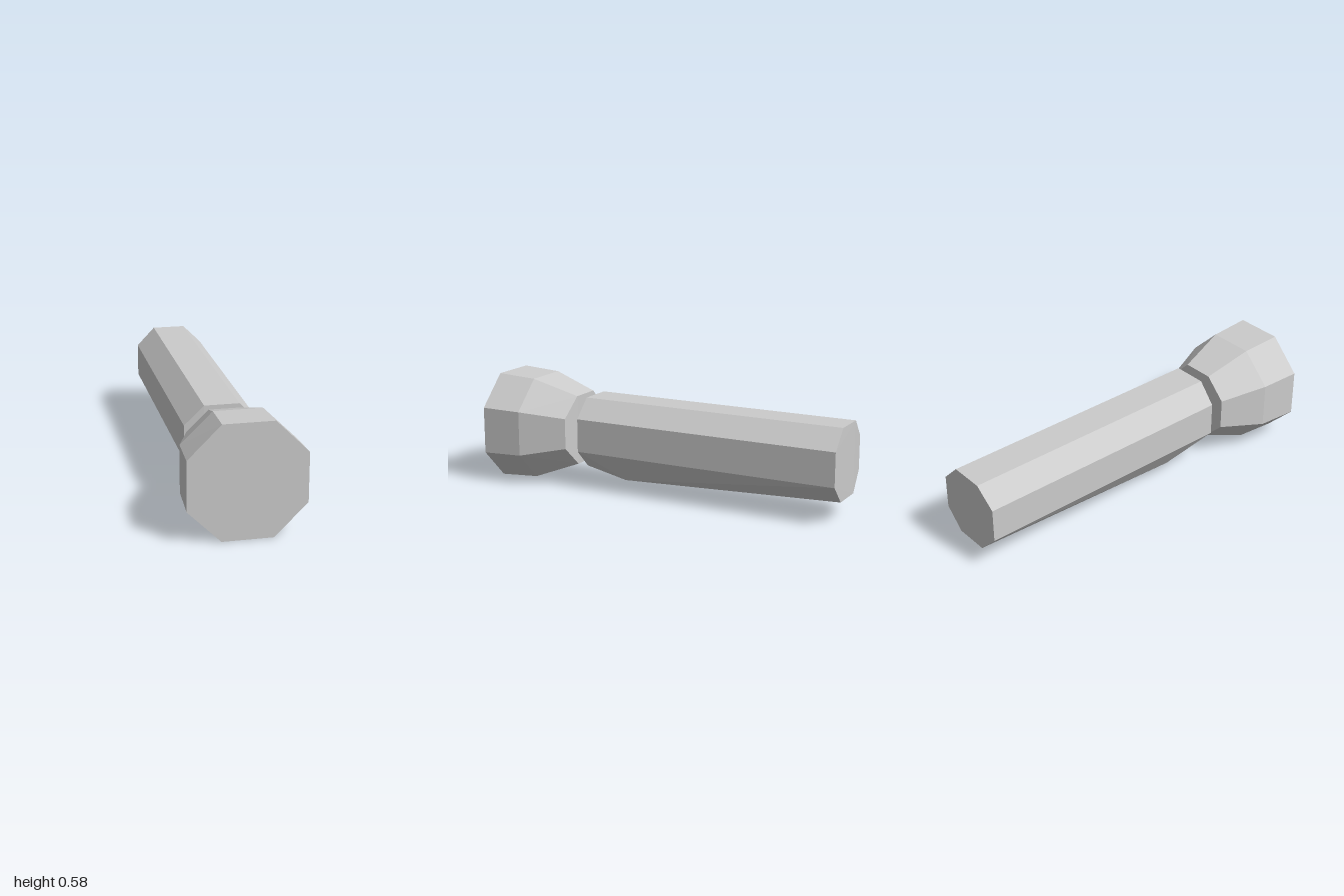
import * as THREE from 'three';
import { ConvexGeometry } from 'three/addons/geometries/ConvexGeometry.js';

// Eight corners of an octagon facing z; sideZ shifts the +x and -x edges along z.
function octagon(z, cx, cy, rx, ry, c, rightShift = 0, leftShift = 0) {
  const points = [];
  for (const s of [-1, 1]) {
    for (const t of [-1, 1]) {
      points.push(new THREE.Vector3(cx + s * c, cy + t * ry, z));
      points.push(new THREE.Vector3(cx + s * rx, cy + t * c, z + (s > 0 ? rightShift : leftShift)));
    }
  }
  return points;
}

function solid(name, points) {
  const material = new THREE.MeshStandardMaterial({ color: 0xcccccc, flatShading: true });
  const mesh = new THREE.Mesh(new ConvexGeometry(points), material);
  mesh.name = name;
  return mesh;
}

export function createModel() {
  const group = new THREE.Group();
  group.name = 'flashlight';

  // Flared lamp head, closed at both ends
  group.add(solid('lampHead', [
    ...octagon(1, 0, 0.29, 0.29, 0.29, 0.126),
    ...octagon(0.78, 0, 0.291, 0.28, 0.277, 0.121),
    ...octagon(0.53, -0.005, 0.298, 0.193, 0.19, 0.083, 0.012),
  ]));

  // Octagonal handle with slightly domed ends and a keel on the underside
  const handle = [
    ...octagon(0.467, -0.007, 0.298, 0.19, 0.19, 0.09, 0, -0.008),
    ...octagon(-0.998, -0.007, 0.298, 0.19, 0.19, 0.09, -0.002, 0.01),
  ];
  for (const s of [-1, 1]) handle.push(new THREE.Vector3(-0.007 + s * 0.085, 0.055, 0.23));
  group.add(solid('handle', handle));

  return group;
}
